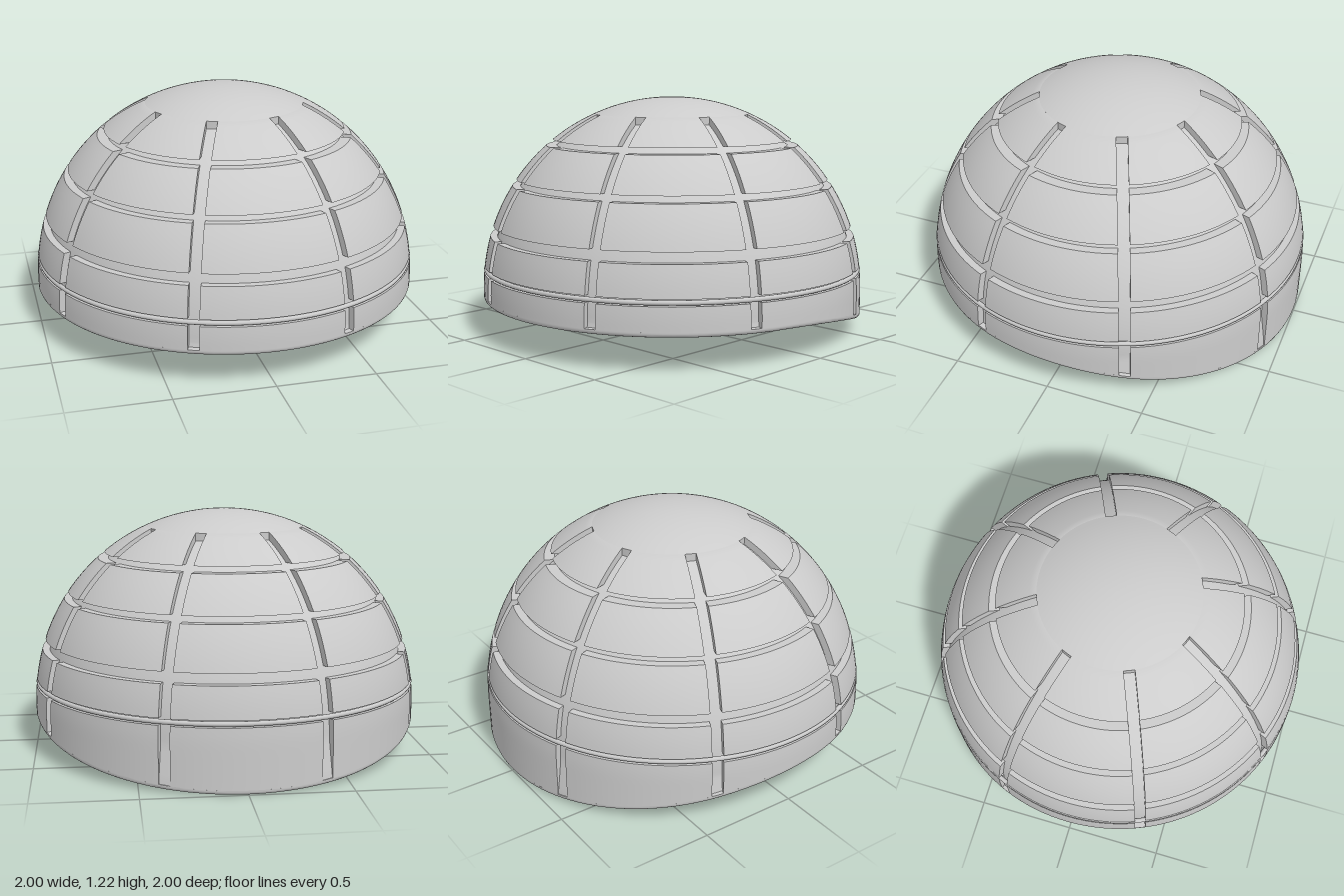
import * as THREE from 'three';
import { toCreasedNormals } from 'three/addons/utils/BufferGeometryUtils.js';

const CENTER_Y = 0.23;     // centre of the dome sphere
const FLOOR_R = 0.965;     // sphere radius at the groove floors
const SLOT_HALF = 0.028;   // half width of the upright grooves
const CAP_Y = 1.142;       // height where the upright grooves stop
const RIM_H = 0.025;       // plain strip under the grooves
const SECTORS = 8;

const lerp = THREE.MathUtils.lerp;
const clamp = THREE.MathUtils.clamp;

// Lower edge: level at the front, dipping toward the back
function edgeY(z) {
  const t = Math.max(0, 0.25 - z);
  return t < 0.6 ? 0.18 - 0.155 * t * t : 0.1242 - 0.186 * (t - 0.6);
}

const outerR = y => Math.sqrt(Math.max(0, 1 - Math.max(0, y - CENTER_Y) ** 2));

// Groove floor: sphere above, flaring out to the wall near the lower edge
function floorR(y) {
  if (y > CENTER_Y) return Math.sqrt(Math.max(0, FLOOR_R ** 2 - (y - CENTER_Y) ** 2));
  return lerp(FLOOR_R, 0.997, clamp((CENTER_Y - y) / 0.18, 0, 1));
}

// Move every vertex of a geometry by a rule
function warp(geometry, rule) {
  const pos = geometry.attributes.position;
  const p = new THREE.Vector3();
  for (let i = 0; i < pos.count; i++) {
    rule(p.fromBufferAttribute(pos, i));
    pos.setXYZ(i, p.x, p.y, p.z);
  }
  return geometry;
}

const lathe = (points, segments = 128) =>
  new THREE.LatheGeometry(points.map(([r, y]) => new THREE.Vector2(r, y)), segments);

// Raised curved panel: a box bent onto the dome between two heights
function panelGeometry(angle, bottom, top, rows) {
  const box = new THREE.BoxGeometry(1, 1, 1, 16, rows, 1);
  warp(box, p => {
    const u = p.x * 2, v = p.y + 0.5, outside = p.z > 0;
    const around = r => angle + u * (Math.PI / SECTORS - Math.asin(SLOT_HALF / r));
    const low = bottom ?? edgeY(Math.cos(around(1))) + RIM_H;
    const y = lerp(low, top, v);
    const r = outside ? outerR(y) : floorR(y) - 0.02;
    const a = around(r);
    p.set(r * Math.sin(a), y, r * Math.cos(a));
  });
  return toCreasedNormals(box, 0.6);
}

export function createModel() {
  const group = new THREE.Group();
  const material = new THREE.MeshStandardMaterial({ color: 0xcccccc });
  const add = (name, geometry, parent = group) => {
    const mesh = new THREE.Mesh(geometry, material);
    mesh.name = name;
    parent.add(mesh);
    return mesh;
  };

  // Inner shell that shows as the floor of all grooves
  const shellPoints = [];
  for (let i = 0; i <= 10; i++) shellPoints.push([1, 0.03 * i]);
  for (let i = 1; i <= 36; i++) {
    const y = lerp(0.3, 1.13, Math.sin((i / 36) * Math.PI / 2));
    shellPoints.push([floorR(y), y]);
  }
  const shell = warp(lathe(shellPoints), p => {
    if (p.y > 0.301) return;
    const a = Math.atan2(p.x, p.z);
    const y = lerp(edgeY(Math.cos(a)) + 0.02, 0.3, p.y / 0.3);
    const r = floorR(y);
    p.set(r * Math.sin(a), y, r * Math.cos(a));
  });
  add('grooveFloor', toCreasedNormals(shell, 0.6));

  // Smooth crown with a short wall closing the upright grooves
  const crown = [[0.41, 1.09]];
  const capAngle = Math.acos(CAP_Y - CENTER_Y);
  for (let i = 0; i <= 14; i++) {
    const a = capAngle * (1 - i / 14);
    crown.push([Math.sin(a), CENTER_Y + Math.cos(a)]);
  }
  add('crown', toCreasedNormals(lathe(crown), 0.6));

  // Tiers of raised panels; the lowest one follows the lower edge
  const tiers = [
    ['crownPanels', 1.01, CAP_Y, 8],
    ['upperPanels', 0.805, 0.98, 8],
    ['middlePanels', 0.565, 0.772, 8],
    ['lowerPanels', 0.358, 0.512, 6],
    ['bandPanels', null, 0.325, 8],
  ];
  for (const [name, bottom, top, rows] of tiers) {
    const tier = new THREE.Group();
    tier.name = name;
    for (let i = 0; i < SECTORS; i++) {
      add('panel', panelGeometry((i * 2 * Math.PI) / SECTORS, bottom, top, rows), tier);
    }
    group.add(tier);
  }

  // Thin bead running round the groove above the band
  const bead = new THREE.TorusGeometry(0.984, 0.012, 10, 128);
  bead.rotateX(Math.PI / 2);
  bead.translate(0, 0.341, 0);
  add('bead', bead);

  // Cavity, rounded lip, underside and outer edge in one profile
  const rim = [];
  for (let i = 0; i <= 20; i++) {
    const a = (i / 20) * Math.PI / 2;
    rim.push([0.62 * Math.sin(a), 0.05 + 0.7 * Math.cos(a)]);
  }
  rim.push([0.624, 0.028], [0.634, 0.012], [0.648, 0.003]);
  for (let i = 0; i <= 10; i++) rim.push([lerp(0.665, 0.982, i / 10), 0]);
  rim.push([0.991, 0.003], [0.997, 0.009], [1, 0.018], [1, RIM_H], [0.94, RIM_H]);
  const rimGeometry = warp(lathe(rim), p => {
    p.y += edgeY(p.z) * (p.y <= RIM_H ? 1 : 1 - (p.y - RIM_H) / 0.75);
  });
  add('rimAndCavity', toCreasedNormals(rimGeometry, 0.7));

  return group;
}
